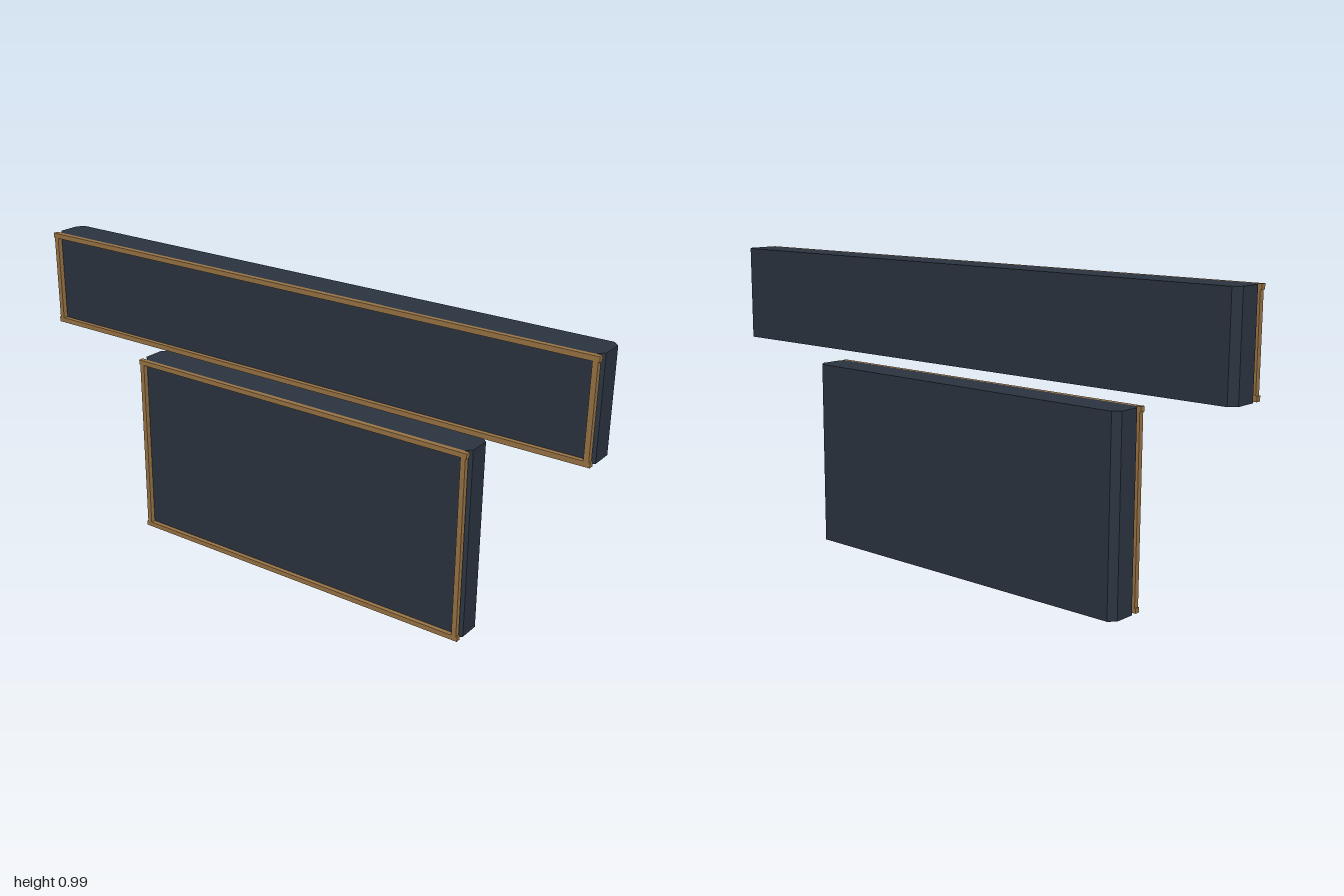
import * as THREE from 'three';

const slate = new THREE.MeshStandardMaterial({ color: 0x2b3440, flatShading: true });
const bronze = new THREE.MeshStandardMaterial({ color: 0x9a7445, flatShading: true });

const BACK = -0.063, FRONT = 0.05, CUT = 0.021;

// Slab with its four upright edges chamfered, extruded upwards
function slab(halfWidth, height) {
  const w = halfWidth, c = CUT;
  const outline = [
    [-w + c, -FRONT], [w - c, -FRONT], [w, -FRONT + c], [w, -BACK - c],
    [w - c, -BACK], [-w + c, -BACK], [-w, -BACK - c], [-w, -FRONT + c],
  ].map(([x, y]) => new THREE.Vector2(x, y));
  const geometry = new THREE.ExtrudeGeometry(new THREE.Shape(outline), { depth: height, bevelEnabled: false });
  geometry.rotateX(-Math.PI / 2);
  return new THREE.Mesh(geometry, slate);
}

function bar(name, w, h, d, x, y, z) {
  const mesh = new THREE.Mesh(new THREE.BoxGeometry(w, h, d), bronze);
  mesh.name = name;
  mesh.position.set(x, y, z);
  return mesh;
}

// Slab with a raised trim frame around its front face
function framedPanel(name, halfWidth, bottom, height) {
  const group = new THREE.Group();
  group.name = name;
  const body = slab(halfWidth, height);
  body.name = name + 'Body';
  group.add(body);
  const t = 0.016;
  for (const [side, y] of [['bottom', t / 2], ['top', height - t / 2]]) {
    group.add(bar(side + 'Trim', halfWidth * 2, t, 0.017, 0, y, 0.0565));
  }
  for (const [side, s] of [['left', 1], ['right', -1]]) {
    group.add(bar(side + 'Trim', t, height - 2 * t, 0.017, s * (halfWidth - 0.004 - t / 2), height / 2, 0.0565));
  }
  group.position.y = bottom;
  return group;
}

export function createModel() {
  const model = new THREE.Group();
  model.name = 'signPanels';
  model.add(framedPanel('upperPanel', 1, 0.677, 0.313));
  model.add(framedPanel('lowerPanel', 0.63, 0, 0.617));
  return model;
}
